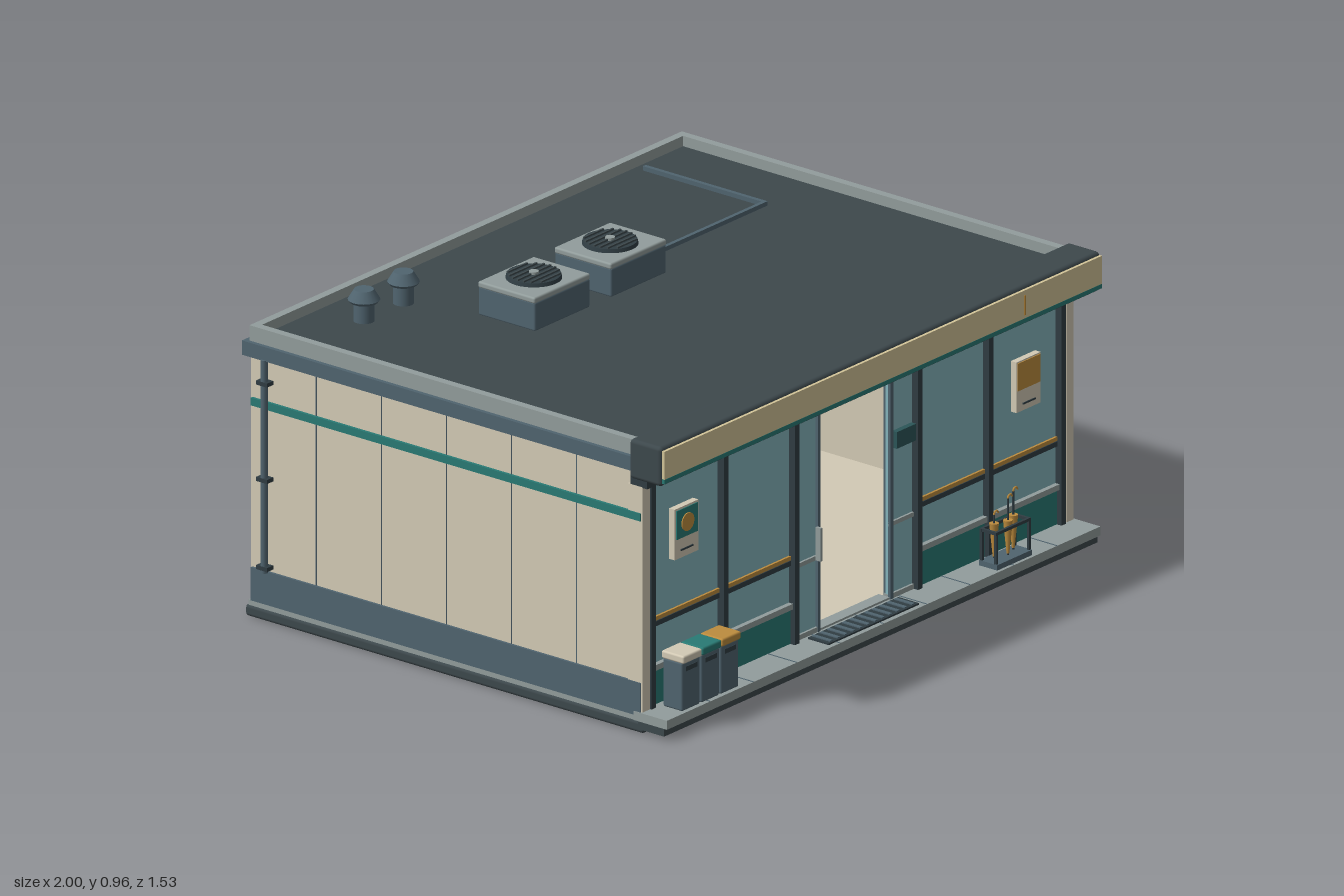
import * as THREE from 'three';
import { RoundedBoxGeometry } from 'three/addons/geometries/RoundedBoxGeometry.js';

const mat = (name, color) => Object.assign(new THREE.MeshStandardMaterial({ color }), { name });

export function createModel() {
  const root = new THREE.Group();
  root.name = 'shop';
  const cream = mat('cream', 0xd3cab5), sand = mat('sand', 0xd2c498), glass = mat('glass', 0x85b5bd),
    teal = mat('teal', 0x297a74), deepTeal = mat('deepTeal', 0x2c5658), roofGrey = mat('roofGrey', 0x3d484c),
    steel = mat('steel', 0x50646f), grey = mat('grey', 0x929d9c), amber = mat('amber', 0xbd8c3e),
    frame = mat('frame', 0x303d43);

  const add = (name, geo, m, x = 0, y = 0, z = 0, parent = root) => {
    const mesh = new THREE.Mesh(geo, m);
    mesh.name = name;
    mesh.position.set(x, y, z);
    parent.add(mesh);
    return mesh;
  };
  // Box given by its lower and upper limits on each axis; r rounds the edges
  const box = (name, m, x0, x1, y0, y1, z0, z1, r = 0) => add(name,
    r ? new RoundedBoxGeometry(x1 - x0, y1 - y0, z1 - z0, 2, r) : new THREE.BoxGeometry(x1 - x0, y1 - y0, z1 - z0),
    m, (x0 + x1) / 2, (y0 + y1) / 2, (z0 + z1) / 2);
  const cyl = (name, m, rTop, rBottom, h, x, y, z, sides = 20) =>
    add(name, new THREE.CylinderGeometry(rTop, rBottom, h, sides), m, x, y, z);

  // Base, floor and front pavement
  box('base', roofGrey, -0.985, 0.935, 0, 0.035, -0.76, 0.68, 0.01);
  box('baseStrip', grey, -0.98, 0.93, 0.033, 0.05, -0.75, 0.67);
  box('floor', cream, -0.94, 0.89, 0.05, 0.062, -0.7, 0.64);
  box('pavementEdge', roofGrey, -0.985, 0.935, 0.012, 0.035, 0.66, 0.755);
  box('pavement', grey, -0.985, 0.935, 0.035, 0.062, 0.645, 0.765);
  for (let i = 1; i < 10; i++) {
    const x = -0.985 + i * 0.192;
    box('pavementJoint', steel, x - 0.002, x + 0.002, 0.06, 0.063, 0.66, 0.764);
  }
  box('doorMat', frame, -0.25, 0.15, 0.062, 0.067, 0.675, 0.75);
  for (let i = 0; i < 12; i++) {
    const x = -0.238 + i * 0.033;
    box('matRib', steel, x, x + 0.012, 0.067, 0.07, 0.68, 0.745);
  }

  // Side walls with skirting, stripe, seams and drainpipe
  for (const [x0, x1, s] of [[-0.975, -0.94, -1], [0.89, 0.925, 1]]) {
    const face = s > 0 ? x1 : x0;
    const plate = (name, m, t, y0, y1, z0, z1) =>
      box(name, m, Math.min(face, face + s * t), Math.max(face, face + s * t), y0, y1, z0, z1);
    box('sideWall', cream, x0, x1, 0.05, 0.8, -0.74, 0.67);
    plate('skirting', steel, 0.008, 0.05, 0.15, -0.74, 0.668);
    plate('sideStripe', teal, 0.009, 0.637, 0.66, -0.74, 0.668);
    for (let i = 0; i < 5; i++) plate('wallSeam', steel, 0.002, 0.15, 0.79, 0.43 - i * 0.235, 0.433 - i * 0.235);
    cyl('drainpipe', steel, 0.011, 0.011, 0.64, face + s * 0.016, 0.47, -0.685, 12);
    for (const y of [0.165, 0.43, 0.72]) plate('pipeClip', frame, 0.028, y - 0.006, y + 0.006, -0.705, -0.665);
  }

  // Back wall with tall panels
  box('backWall', cream, -0.975, 0.925, 0.05, 0.8, -0.745, -0.705);
  for (let i = 0; i < 3; i++) {
    const x = -0.37 + i * 0.395;
    box('backPanel', deepTeal, x, x + 0.39, 0.05, 0.79, -0.752, -0.745);
    if (i) box('backStile', grey, x - 0.01, x + 0.006, 0.05, 0.79, -0.757, -0.745);
  }

  // Roof slab, rim and parapet
  box('roof', roofGrey, -0.97, 0.92, 0.79, 0.845, -0.735, 0.67);
  const ring = (name, m, x0, x1, z0, z1, t, y0, y1) => {
    box(name, m, x0, x0 + t, y0, y1, z0, z1);
    box(name, m, x1 - t, x1, y0, y1, z0, z1);
    box(name, m, x0 + t, x1 - t, y0, y1, z0, z0 + t);
  };
  ring('roofRim', steel, -0.995, 0.945, -0.762, 0.68, 0.03, 0.787, 0.83);
  ring('parapet', grey, -0.982, 0.932, -0.745, 0.645, 0.025, 0.825, 0.876);
  box('parapet', grey, -0.957, 0.907, 0.84, 0.87, 0.63, 0.642);

  // Front fascia
  box('fascia', roofGrey, -1, 0.947, 0.765, 0.884, 0.64, 0.756, 0.012);
  box('fasciaSign', sand, -0.995, 0.942, 0.79, 0.874, 0.756, 0.765);
  box('fasciaStripe', teal, -0.995, 0.942, 0.776, 0.789, 0.756, 0.764);
  box('fasciaMark', amber, 0.597, 0.603, 0.8, 0.86, 0.765, 0.767);

  // Shopfront
  box('headRail', frame, -0.98, 0.93, 0.738, 0.768, 0.63, 0.69);
  for (const [x0, x1] of [[-0.98, -0.943], [0.9, 0.93]]) box('cornerPost', cream, x0, x1, 0.05, 0.74, 0.62, 0.672);
  for (const x of [-0.935, -0.615, -0.3, 0.245, 0.56, 0.88])
    box('mullion', frame, x - 0.01, x + 0.01, 0.062, 0.745, 0.635, 0.677);
  for (const [x0, x1] of [[-0.945, -0.3], [0.245, 0.9]]) {
    box('window', glass, x0, x1, 0.165, 0.74, 0.645, 0.655);
    box('lowerPanel', teal, x0, x1, 0.062, 0.17, 0.64, 0.66);
    box('sillRail', grey, x0, x1, 0.168, 0.185, 0.65, 0.67);
    box('windowBand', amber, x0, x1, 0.314, 0.326, 0.655, 0.662);
    box('windowBandEdge', frame, x0, x1, 0.297, 0.312, 0.655, 0.662);
  }

  // Fixed panes either side of the open doorway
  for (const [x0, x1, edge] of [[-0.29, -0.18, -0.186], [0.13, 0.236, 0.136]]) {
    box('doorPane', glass, x0, x1, 0.075, 0.74, 0.645, 0.655);
    box('doorRail', grey, x0, x1, 0.28, 0.293, 0.652, 0.662);
    box('doorRail', grey, x0, x1, 0.062, 0.077, 0.64, 0.662);
    box('doorStile', steel, edge - 0.006, edge + 0.006, 0.062, 0.74, 0.638, 0.664);
  }
  box('doorPull', grey, -0.2, -0.192, 0.28, 0.38, 0.662, 0.68);
  box('threshold', grey, -0.18, 0.13, 0.06, 0.068, 0.62, 0.66);
  box('doorTrack', steel, -0.29, 0.236, 0.715, 0.74, 0.63, 0.66);
  box('doorNotice', deepTeal, 0.147, 0.232, 0.512, 0.562, 0.655, 0.672);

  // Interior: chiller along the back and the counter
  box('chiller', steel, -0.9, 0.85, 0.062, 0.74, -0.7, -0.61);
  for (let i = 0; i < 5; i++) {
    const x = -0.72 + i * 0.36 - 0.36 * 0.5;
    box('chillerDoor', glass, x + 0.012, x + 0.348, 0.08, 0.72, -0.61, -0.602);
    box('chillerStile', grey, x - 0.012, x + 0.012, 0.065, 0.74, -0.61, -0.6);
    box('chillerHandle', frame, x + 0.3, x + 0.314, 0.3, 0.42, -0.602, -0.585);
  }
  box('counter', cream, -0.56, -0.385, 0.062, 0.28, 0.2, 0.55);
  box('counterTop', amber, -0.57, -0.375, 0.28, 0.3, 0.19, 0.56);
  box('till', frame, -0.5, -0.42, 0.3, 0.39, 0.22, 0.34);

  // Posters
  box('posterSheet', cream, -0.84, -0.735, 0.478, 0.63, 0.655, 0.675);
  box('posterField', teal, -0.834, -0.741, 0.538, 0.624, 0.675, 0.678);
  cyl('posterDisc', amber, 0.027, 0.027, 0.004, -0.787, 0.58, 0.679, 28).rotation.x = Math.PI / 2;
  box('posterLine', frame, -0.815, -0.76, 0.499, 0.504, 0.675, 0.678);
  box('posterSheet', cream, 0.673, 0.78, 0.46, 0.612, 0.655, 0.675);
  box('posterField', amber, 0.677, 0.776, 0.525, 0.608, 0.675, 0.678);
  box('posterLine', frame, 0.7, 0.755, 0.478, 0.483, 0.675, 0.678);

  // Litter bins
  [cream, teal, amber].forEach((lid, i) => {
    const x = -0.905 + i * 0.086;
    box('bin', steel, x, x + 0.08, 0.062, 0.208, 0.685, 0.755, 0.006);
    box('binLid', lid, x - 0.002, x + 0.082, 0.206, 0.23, 0.68, 0.762, 0.006);
    box('binSlot', frame, x + 0.015, x + 0.065, 0.18, 0.194, 0.753, 0.757);
  });

  // Umbrella stand
  box('standTray', steel, 0.49, 0.645, 0.062, 0.078, 0.69, 0.755);
  for (const z of [0.695, 0.747]) box('standRail', frame, 0.49, 0.645, 0.165, 0.174, z - 0.004, z + 0.004);
  for (const x of [0.495, 0.64]) {
    box('standRail', frame, x - 0.004, x + 0.004, 0.165, 0.174, 0.695, 0.747);
    for (const z of [0.695, 0.747]) box('standLeg', frame, x - 0.004, x + 0.004, 0.07, 0.174, z - 0.004, z + 0.004);
  }
  [[0.525, amber, 0.21], [0.568, amber, 0.25], [0.61, amber, 0.255]].forEach(([x, m, top], i) => {
    const z = 0.715 + (i % 2) * 0.015;
    cyl('umbrella', m, 0.014, 0.004, 0.1, x, 0.135, z, 10);
    cyl('umbrellaShaft', frame, 0.003, 0.003, top - 0.08, x, (top + 0.08) / 2, z, 8);
    add('umbrellaHook', new THREE.TorusGeometry(0.009, 0.003, 6, 12, Math.PI), amber, x + 0.009, top, z);
  });

  // Side sign
  box('sideSignFrame', frame, 0.925, 0.943, 0.642, 0.802, 0.118, 0.542, 0.006);
  box('sideSign', sand, 0.943, 0.947, 0.655, 0.79, 0.128, 0.532);
  box('sideSignStripe', teal, 0.947, 0.949, 0.664, 0.678, 0.14, 0.52);

  // Wall cooling units
  for (const z of [-0.218, -0.503]) {
    box('wallUnit', steel, 0.93, 0.982, 0.095, 0.287, z - 0.118, z + 0.118, 0.008);
    box('wallUnitRim', grey, 0.982, 0.985, 0.105, 0.277, z - 0.107, z + 0.107);
    box('wallUnitFace', steel, 0.985, 0.988, 0.117, 0.265, z - 0.095, z + 0.095);
    cyl('wallFan', frame, 0.066, 0.066, 0.006, 0.99, 0.19, z - 0.02, 32).rotation.z = Math.PI / 2;
    for (let i = -3; i <= 3; i++) {
      const w = Math.sqrt(0.064 ** 2 - (i * 0.017) ** 2);
      box('wallFanSlat', grey, 0.992, 1, 0.185 + i * 0.017, 0.195 + i * 0.017, z - 0.02 - w, z - 0.02 + w);
    }
    box('unitBracket', frame, 0.925, 0.985, 0.077, 0.087, z - 0.08, z + 0.08);
    box('unitHood', frame, 0.925, 0.98, 0.305, 0.315, z - 0.08, z + 0.08);
    box('unitPipe', steel, 0.925, 0.943, 0.315, 0.46, z + 0.02, z + 0.036);
  }

  // Roof cooling units
  for (const x of [-0.33, 0.008]) {
    box('roofUnit', steel, x - 0.122, x + 0.122, 0.843, 0.93, -0.352, -0.146, 0.006);
    box('roofUnitLid', grey, x - 0.124, x + 0.124, 0.926, 0.945, -0.352, -0.146, 0.006);
    cyl('roofFan', frame, 0.077, 0.08, 0.012, x, 0.95, -0.25, 32);
    for (let i = -3; i <= 3; i++) {
      const w = Math.sqrt(0.074 ** 2 - (i * 0.02) ** 2);
      box('roofFanSlat', roofGrey, x - w, x + w, 0.955, 0.961, -0.253 + i * 0.02, -0.247 + i * 0.02);
    }
    cyl('roofFanHub', grey, 0.014, 0.014, 0.008, x, 0.96, -0.25, 16);
  }

  // Roof vents and pipe run
  for (const x of [-0.69, -0.515]) {
    cyl('ventPipe', steel, 0.03, 0.03, 0.08, x, 0.88, -0.57);
    cyl('ventCap', steel, 0.028, 0.046, 0.03, x, 0.925, -0.57);
    cyl('ventBrim', steel, 0.046, 0.04, 0.008, x, 0.906, -0.57);
  }
  box('roofPipe', steel, 0.13, 0.705, 0.845, 0.858, -0.262, -0.25);
  box('roofPipe', steel, 0.692, 0.705, 0.845, 0.858, -0.69, -0.262);

  return root;
}
